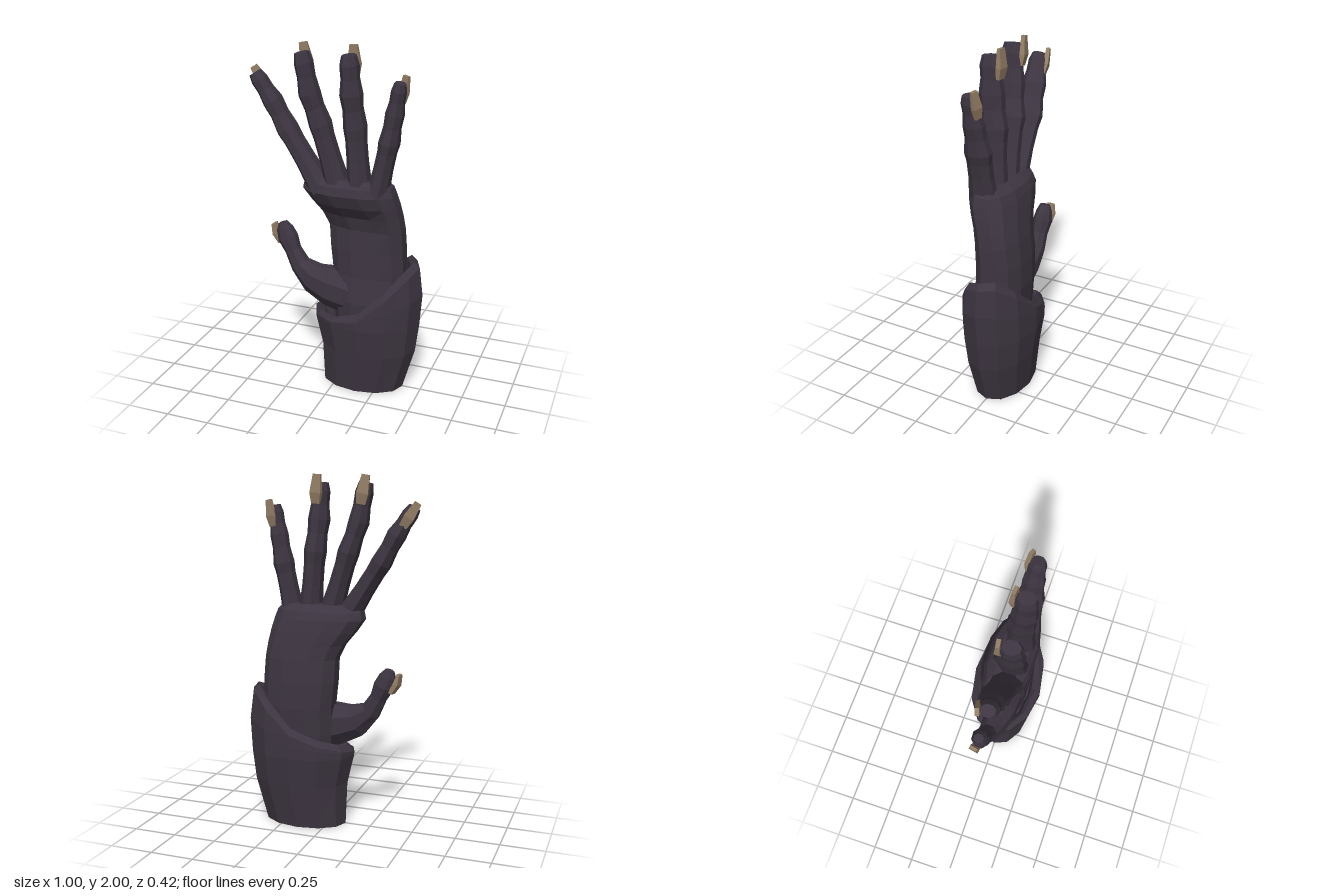
import * as THREE from 'three';

const V = (x, y, z) => new THREE.Vector3(x, y, z);
const lerp = THREE.MathUtils.lerp;

// Piecewise linear lookup in rows whose first number is the key
function sample(rows, k) {
  let i = 0;
  while (i < rows.length - 2 && k > rows[i + 1][0]) i++;
  const a = rows[i], b = rows[i + 1];
  const t = THREE.MathUtils.clamp((k - a[0]) / (b[0] - a[0]), 0, 1);
  return a.slice(1).map((v, j) => lerp(v, b[j + 1], t));
}

// Polygon ring around c; u and v are the half sizes along side and depth
function ring(c, side, depth, u, v, n, power = 1) {
  const pts = [], k = 1 / Math.cos(Math.PI / n);
  const bend = (w) => Math.sign(w) * Math.abs(w) ** power;
  for (let i = 0; i < n; i++) {
    const a = ((i + 0.5) / n) * Math.PI * 2;
    pts.push(c.clone()
      .addScaledVector(side, bend(Math.cos(a)) * u * k)
      .addScaledVector(depth, bend(Math.sin(a)) * v * k));
  }
  return pts;
}

// Skin consecutive rings and close both ends
function loft(rings) {
  const pos = [], n = rings[0].length;
  const tri = (...p) => p.forEach((q) => pos.push(q.x, q.y, q.z));
  const mid = (r) => r.reduce((s, p) => s.add(p), V(0, 0, 0)).divideScalar(n);
  const first = rings[0], last = rings[rings.length - 1];
  const c0 = mid(first), c1 = mid(last);
  for (let j = 0; j < n; j++) {
    const k = (j + 1) % n;
    for (let i = 0; i < rings.length - 1; i++) {
      const [a, b, c, d] = [rings[i][j], rings[i][k], rings[i + 1][k], rings[i + 1][j]];
      tri(a, b, c);
      tri(a, c, d);
    }
    tri(c0, first[k], first[j]);
    tri(c1, last[j], last[k]);
  }
  const g = new THREE.BufferGeometry();
  g.setAttribute('position', new THREE.Float32BufferAttribute(pos, 3));
  g.computeVertexNormals();
  return g;
}

// Tube along rows of [x, y, z, halfWidth, halfDepth]
function limb(rows, n) {
  const at = (i) => V(...rows[THREE.MathUtils.clamp(i, 0, rows.length - 1)].slice(0, 3));
  return loft(rows.map((r, i) => {
    const t = at(i + 1).sub(at(i - 1)).normalize();
    const side = t.clone().cross(V(0, 0, 1)).normalize();
    return ring(at(i), side, t.clone().cross(side), r[3], r[4], n);
  }));
}

// Claw-like nail: rows of [distance along finger, lift, halfWidth, halfThickness]
function nailGeometry(origin, t, out, rows) {
  const side = out.clone().cross(t).normalize();
  const up = t.clone().cross(side);
  return loft(rows.map(([d, lift, w, h]) =>
    ring(origin.clone().addScaledVector(t, d).addScaledVector(up, lift), side, up, w, h, 4)));
}

export function createModel() {
  const group = new THREE.Group();
  const skin = new THREE.MeshStandardMaterial({ color: 0x3d3541 });
  skin.name = 'darkSkin';
  skin.flatShading = true;
  const horn = new THREE.MeshStandardMaterial({ color: 0x927d64 });
  horn.name = 'nailTan';
  horn.flatShading = true;
  const add = (name, geometry, material) => {
    const m = new THREE.Mesh(geometry, material);
    m.name = name;
    group.add(m);
  };

  // Cuff: twelve-sided shell with a slanted rim, a lip and an inner wall
  const shell = [
    [0, 0.145, 0.245, 0.155], [0.25, 0.175, 0.285, 0.19], [0.43, 0.165, 0.317, 0.212],
    [0.6, 0.17, 0.325, 0.208], [0.82, 0.165, 0.305, 0.185],
  ];
  const rim = [[-0.15, 0.47], [0, 0.49], [0.17, 0.55], [0.33, 0.685], [0.45, 0.79], [0.49, 0.8]];
  const cuffRing = (height, inset = 0) => Array.from({ length: 12 }, (_, i) => {
    const a = (i / 12) * Math.PI * 2, c = Math.cos(a), s = -Math.sin(a);
    const top = sample(rim, 0.17 + 0.32 * c)[0] - s * 0.04;
    const y = height(top);
    const [cx, rx, rz] = sample(shell, y);
    return V(cx + c * (rx - inset), y, s * (rz - inset));
  });
  add('cuff', loft([
    cuffRing(() => 0), cuffRing(() => 0.25), cuffRing(() => 0.42),
    cuffRing((t) => lerp(0.42, t, 0.5)), cuffRing((t) => t - 0.03, 0.002),
    cuffRing((t) => t + 0.005, 0.03), cuffRing((t) => t - 0.02, 0.055),
    cuffRing((t) => t - 0.14, 0.07),
  ]), skin);

  // Wrist and palm: rows of [y, minX, maxX, backZ, frontZ, hollow]
  const palm = [
    [0.3, 0, 0.34, -0.12, 0.12, 0], [0.55, -0.03, 0.375, -0.14, 0.13, 0],
    [0.7, -0.03, 0.385, -0.15, 0.115, 0.01], [0.85, -0.045, 0.378, -0.145, 0.114, 0.02],
    [0.98, -0.048, 0.372, -0.128, 0.12, 0.035], [1.06, -0.085, 0.362, -0.112, 0.135, 0.03],
    [1.13, -0.14, 0.35, -0.098, 0.16, 0.005], [1.2, -0.185, 0.333, -0.08, 0.18, 0],
    [1.245, -0.175, 0.318, -0.06, 0.168, 0], [1.28, -0.125, 0.285, -0.015, 0.14, 0],
  ];
  add('palm', loft(palm.map(([y, x0, x1, z0, z1, hollow]) => {
    const cz = (z0 + z1) / 2, v = (z1 - z0) / 2;
    const pts = ring(V((x0 + x1) / 2, y, cz), V(1, 0, 0), V(0, 0, -1), (x1 - x0) / 2, v, 12, 0.85);
    // Sink the cup of the hand beside the outer heel
    for (const p of pts) if (p.x < 0.28 && p.z > cz + v * 0.5) p.z -= hollow;
    return pts;
  })), skin);

  // Thumb with its fleshy base
  add('thumb', limb([
    [0.14, 0.55, 0.04, 0.09, 0.07], [0.06, 0.575, 0.035, 0.125, 0.085],
    [-0.05, 0.595, 0.03, 0.118, 0.085],
    [-0.16, 0.625, 0.02, 0.09, 0.07], [-0.245, 0.69, 0.01, 0.056, 0.055],
    [-0.292, 0.775, 0.005, 0.045, 0.046], [-0.325, 0.845, 0.0, 0.056, 0.052],
    [-0.345, 0.9, 0.0, 0.046, 0.042], [-0.355, 0.935, 0.0, 0.025, 0.028],
  ], 8), skin);
  add('thumbNail', nailGeometry(V(-0.345, 0.84, -0.003), V(-0.38, 0.92, 0).normalize(),
    V(-0.85, -0.35, -0.2).normalize(), [
      [-0.02, 0.035, 0.024, 0.012], [0.04, 0.046, 0.029, 0.014], [0.1, 0.036, 0.021, 0.008],
    ]), horn);

  // Fingers: base, two joints and tip, each [x, y, z, halfWidth, halfDepth]
  const fingers = {
    indexFinger: [[-0.075, 1.2, 0.075, 0.064, 0.085], [-0.278, 1.52, 0.075, 0.053, 0.078],
      [-0.36, 1.675, 0.085, 0.05, 0.068], [-0.455, 1.825, 0.1, 0.032, 0.036]],
    middleFinger: [[0.025, 1.2, 0.075, 0.064, 0.085], [-0.082, 1.57, 0.085, 0.055, 0.08],
      [-0.135, 1.74, 0.108, 0.053, 0.072], [-0.172, 1.955, 0.118, 0.036, 0.046]],
    ringFinger: [[0.143, 1.2, 0.075, 0.063, 0.085], [0.115, 1.57, 0.08, 0.058, 0.076],
      [0.098, 1.75, 0.1, 0.057, 0.068], [0.087, 1.955, 0.108, 0.036, 0.046]],
    littleFinger: [[0.242, 1.2, 0.075, 0.057, 0.08], [0.303, 1.5, 0.07, 0.053, 0.074],
      [0.332, 1.66, 0.075, 0.047, 0.057], [0.36, 1.825, 0.085, 0.028, 0.034]],
  };
  // Each nail faces slightly outward along the fan of the hand
  const nailTilt = { indexFinger: -0.3, middleFinger: -0.15, ringFinger: 0.1, littleFinger: 0.35 };
  for (const [name, joints] of Object.entries(fingers)) {
    const blend = (i, t, k) => joints[i].map((v, j) =>
      lerp(v, joints[i + 1][j], t) * (j > 2 ? k : 1));
    const tip = joints[3];
    // Slim necks between swollen joints, then a fuller fingertip pad
    add(name, limb([joints[0], blend(0, 0.5, 0.88), blend(0, 0.82, 0.89), joints[1],
      blend(1, 0.55, 0.88), joints[2], blend(2, 0.4, 0.95), blend(2, 0.75, 1.15), tip], 8), skin);
    const t = V(...tip).sub(V(...joints[2])).normalize();
    const w = tip[3], d = tip[4], long = tip[1] > 1.9 ? 0.042 : 0.032;
    add(name + 'Nail', nailGeometry(V(...tip), t, V(nailTilt[name], 0, -1).normalize(), [
      [-0.12, d * 1.15, w * 0.7, 0.012], [-0.06, d * 1.4, w * 0.92, 0.015],
      [long, d * 1.35, w * 0.6, 0.01],
    ]), horn);
  }
  return group;
}
